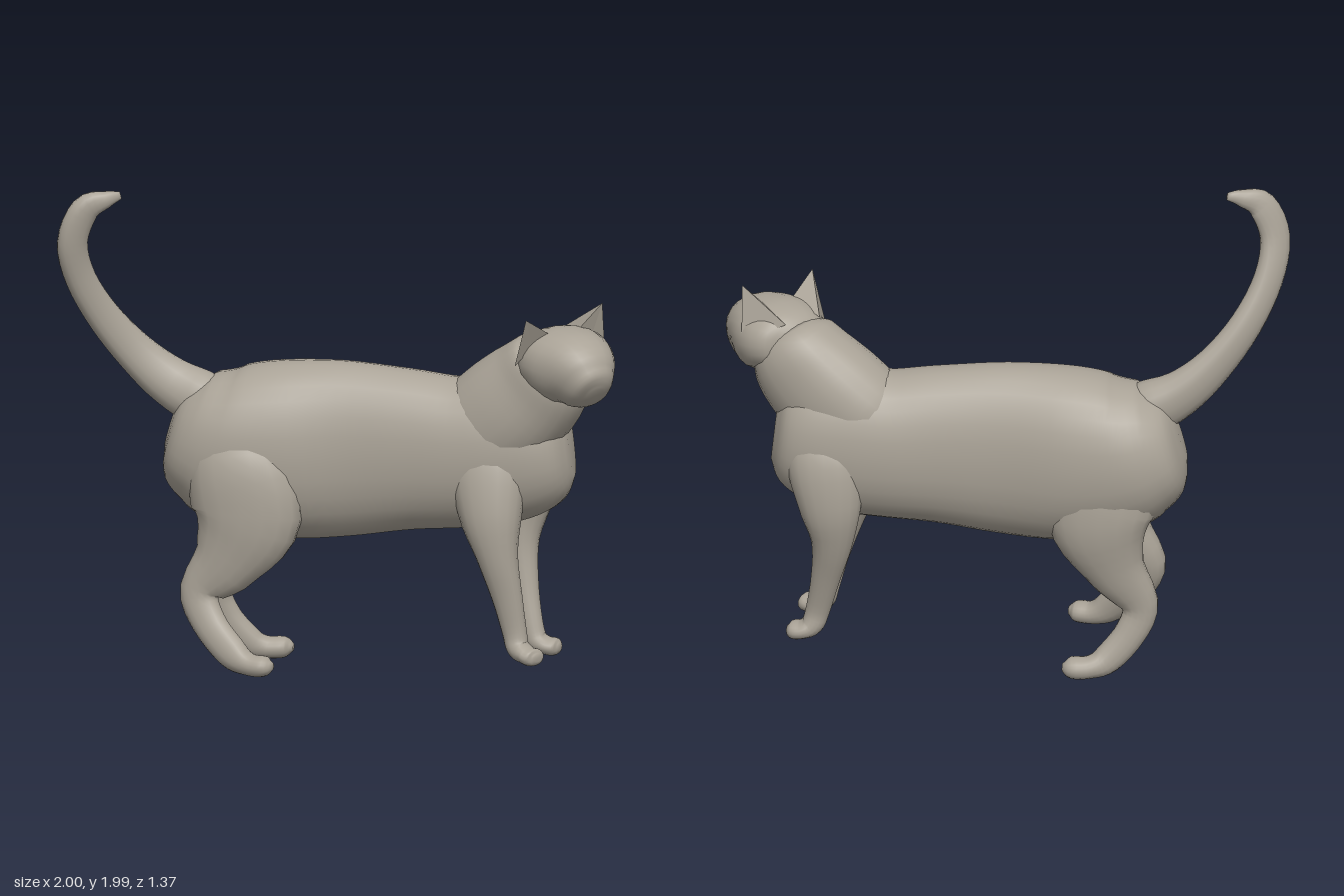
import * as THREE from 'three';

const fur = new THREE.MeshStandardMaterial({ color: 0xaaa397 });
fur.name = 'warm grey fur';
fur.side = THREE.DoubleSide;

const V = (x, y, z) => new THREE.Vector3(x, y, z);
const FORWARD = V(0.843, 0, 0.537); // direction the body points
const SIDE = V(-0.537, 0, 0.843); // the cat's right

// Smooth skin through stations [x, y, z, halfWidth, halfHeight]
function loft(name, stations, side = SIDE, segs = 18, steps = 4) {
  const path = new THREE.CatmullRomCurve3(stations.map(s => V(s[0], s[1], s[2])), false, 'catmullrom', 0.5);
  const size = new THREE.CatmullRomCurve3(stations.map(s => V(s[3], s[4], 0)), false, 'catmullrom', 0.5);
  const n = (stations.length - 1) * steps;
  const pos = [], idx = [];
  const soft = v => Math.sign(v) * Math.abs(v) ** 0.92;
  for (let i = 0; i <= n; i++) {
    const c = path.getPoint(i / n), t = path.getTangent(i / n), r = size.getPoint(i / n);
    const u = side.clone().addScaledVector(t, -side.dot(t)).normalize();
    const v = t.clone().cross(u);
    for (let j = 0; j < segs; j++) {
      const a = j / segs * Math.PI * 2;
      const p = c.clone()
        .addScaledVector(u, Math.max(r.x, 0.005) * soft(Math.cos(a)))
        .addScaledVector(v, Math.max(r.y, 0.005) * soft(Math.sin(a)));
      pos.push(p.x, p.y, p.z);
      if (i < n) {
        const k = (j + 1) % segs, a0 = i * segs + j, a1 = i * segs + k;
        idx.push(a0, a1, a0 + segs, a1, a1 + segs, a0 + segs);
      }
    }
  }
  // end caps
  [0, 1].forEach(e => {
    const c = path.getPoint(e), m = pos.length / 3, base = e * n * segs;
    pos.push(c.x, c.y, c.z);
    for (let j = 0; j < segs; j++) {
      const a = base + j, b = base + (j + 1) % segs;
      idx.push(m, ...(e ? [a, b] : [b, a]));
    }
  });
  const g = new THREE.BufferGeometry();
  g.setAttribute('position', new THREE.Float32BufferAttribute(pos, 3));
  g.setIndex(idx);
  g.computeVertexNormals();
  const mesh = new THREE.Mesh(g, fur);
  mesh.name = name;
  return mesh;
}

// Hollow pointed ear; corners run so that faces look outward on the right ear, reversed on the left
function ear(name, { tip, inner, outer, back, pit }, flip) {
  const g = new THREE.BufferGeometry();
  const tris = [[tip, inner, back], [tip, back, outer], [tip, pit, inner], [tip, outer, pit]];
  const corners = tris.map(t => (flip ? [t[0], t[2], t[1]] : t)).flat(2);
  g.setAttribute('position', new THREE.Float32BufferAttribute(corners, 3));
  g.computeVertexNormals();
  const mesh = new THREE.Mesh(g, fur);
  mesh.name = name;
  return mesh;
}

export function createModel() {
  const cat = new THREE.Group();
  cat.name = 'cat';

  // Torso: [distance along spine, top, bottom, half width]
  const torso = [
    [-0.715, 1.08, 0.9, 0.05], [-0.68, 1.17, 0.79, 0.17], [-0.59, 1.225, 0.68, 0.235],
    [-0.45, 1.25, 0.59, 0.262], [-0.25, 1.275, 0.55, 0.25], [0, 1.285, 0.565, 0.205],
    [0.24, 1.265, 0.6, 0.2], [0.45, 1.24, 0.62, 0.21], [0.62, 1.25, 0.64, 0.212],
    [0.78, 1.23, 0.69, 0.195], [0.88, 1.18, 0.76, 0.15], [0.925, 1.1, 0.85, 0.06],
  ].map(([s, top, bot, w]) => {
    const p = FORWARD.clone().multiplyScalar(s).addScaledVector(SIDE, -0.175);
    return [p.x, (top + bot) / 2, p.z, w, (top - bot) / 2];
  });
  cat.add(loft('torso', torso, SIDE, 28));

  // Neck and head, the head turned slightly toward the front
  cat.add(loft('neck', [
    [0.44, 0.92, 0.05, 0.08, 0.1], [0.54, 1, 0.13, 0.175, 0.21], [0.64, 1.1, 0.22, 0.195, 0.235],
    [0.73, 1.215, 0.305, 0.185, 0.22], [0.78, 1.31, 0.365, 0.175, 0.185], [0.8, 1.36, 0.4, 0.13, 0.13],
  ], V(0.8, 0, -0.6), 24));
  cat.add(loft('head', [
    [0.78, 1.36, 0.27, 0.06, 0.05], [0.785, 1.36, 0.32, 0.145, 0.105], [0.8, 1.355, 0.39, 0.19, 0.135],
    [0.815, 1.345, 0.47, 0.19, 0.148], [0.83, 1.325, 0.55, 0.158, 0.15],
    [0.845, 1.285, 0.61, 0.115, 0.12], [0.855, 1.26, 0.642, 0.08, 0.085], [0.858, 1.25, 0.655, 0.03, 0.035],
  ], V(0.96, 0, -0.27), 24));
  cat.add(ear('rightEar', {
    tip: [0.605, 1.555, 0.53], inner: [0.73, 1.475, 0.47], outer: [0.588, 1.35, 0.45], back: [0.69, 1.44, 0.31], pit: [0.66, 1.42, 0.46],
  }, false));
  cat.add(ear('leftEar', {
    tip: [0.965, 1.58, 0.455], inner: [0.86, 1.475, 0.45], outer: [0.998, 1.36, 0.4], back: [0.86, 1.45, 0.28], pit: [0.925, 1.42, 0.42],
  }, true));

  // Front legs
  cat.add(loft('rightFrontLeg', [
    [0.55, 1.08, 0.23, 0.04, 0.07], [0.545, 0.92, 0.27, 0.1, 0.155], [0.535, 0.72, 0.32, 0.1, 0.13],
    [0.55, 0.55, 0.355, 0.075, 0.085], [0.585, 0.38, 0.375, 0.052, 0.062], [0.612, 0.24, 0.385, 0.044, 0.05],
    [0.622, 0.175, 0.4, 0.05, 0.046], [0.645, 0.15, 0.44, 0.06, 0.036], [0.665, 0.145, 0.475, 0.052, 0.034],
    [0.672, 0.145, 0.49, 0.02, 0.015],
  ]));
  cat.add(loft('leftFrontLeg', [
    [0.72, 1.08, 0.2, 0.04, 0.07], [0.755, 0.92, 0.14, 0.1, 0.155], [0.755, 0.72, 0.1, 0.09, 0.13],
    [0.74, 0.55, 0.11, 0.07, 0.085], [0.745, 0.38, 0.155, 0.05, 0.06], [0.755, 0.23, 0.2, 0.042, 0.05],
    [0.772, 0.16, 0.217, 0.05, 0.046], [0.805, 0.135, 0.24, 0.06, 0.036], [0.84, 0.13, 0.265, 0.052, 0.034],
    [0.855, 0.13, 0.278, 0.02, 0.015],
  ]));

  // Hind legs: haunch, bent hock and paw
  cat.add(loft('rightHindLeg', [
    [-0.31, 1.1, -0.32, 0.04, 0.08], [-0.335, 0.9, -0.245, 0.13, 0.2], [-0.315, 0.68, -0.19, 0.12, 0.225],
    [-0.385, 0.5, -0.215, 0.085, 0.15], [-0.485, 0.36, -0.27, 0.06, 0.085], [-0.47, 0.24, -0.22, 0.05, 0.07],
    [-0.41, 0.13, -0.12, 0.05, 0.065], [-0.36, 0.09, -0.06, 0.055, 0.045], [-0.31, 0.088, -0.01, 0.055, 0.04],
    [-0.285, 0.09, 0.01, 0.02, 0.015],
  ]));
  cat.add(loft('leftHindLeg', [
    [-0.26, 1.1, -0.42, 0.04, 0.08], [-0.23, 0.9, -0.465, 0.12, 0.2], [-0.17, 0.68, -0.47, 0.115, 0.21],
    [-0.22, 0.48, -0.495, 0.08, 0.13], [-0.315, 0.31, -0.535, 0.055, 0.078], [-0.28, 0.19, -0.53, 0.048, 0.065],
    [-0.19, 0.08, -0.5, 0.05, 0.06], [-0.12, 0.05, -0.48, 0.055, 0.045], [-0.05, 0.05, -0.45, 0.055, 0.042],
    [-0.02, 0.05, -0.43, 0.02, 0.015],
  ]));

  // Raised tail, hooked at the tip
  cat.add(loft('tail', [
    [-0.26, 1.06, -0.34, 0.04, 0.04], [-0.39, 1.1, -0.43, 0.1, 0.11], [-0.52, 1.175, -0.51, 0.075, 0.1],
    [-0.65, 1.295, -0.56, 0.055, 0.082], [-0.78, 1.45, -0.58, 0.05, 0.07], [-0.885, 1.62, -0.57, 0.046, 0.064],
    [-0.932, 1.78, -0.54, 0.042, 0.064], [-0.89, 1.915, -0.51, 0.038, 0.06], [-0.81, 1.955, -0.485, 0.03, 0.036],
    [-0.75, 1.97, -0.475, 0.012, 0.016],
  ], V(0, 0, 1), 16));

  return cat;
}
